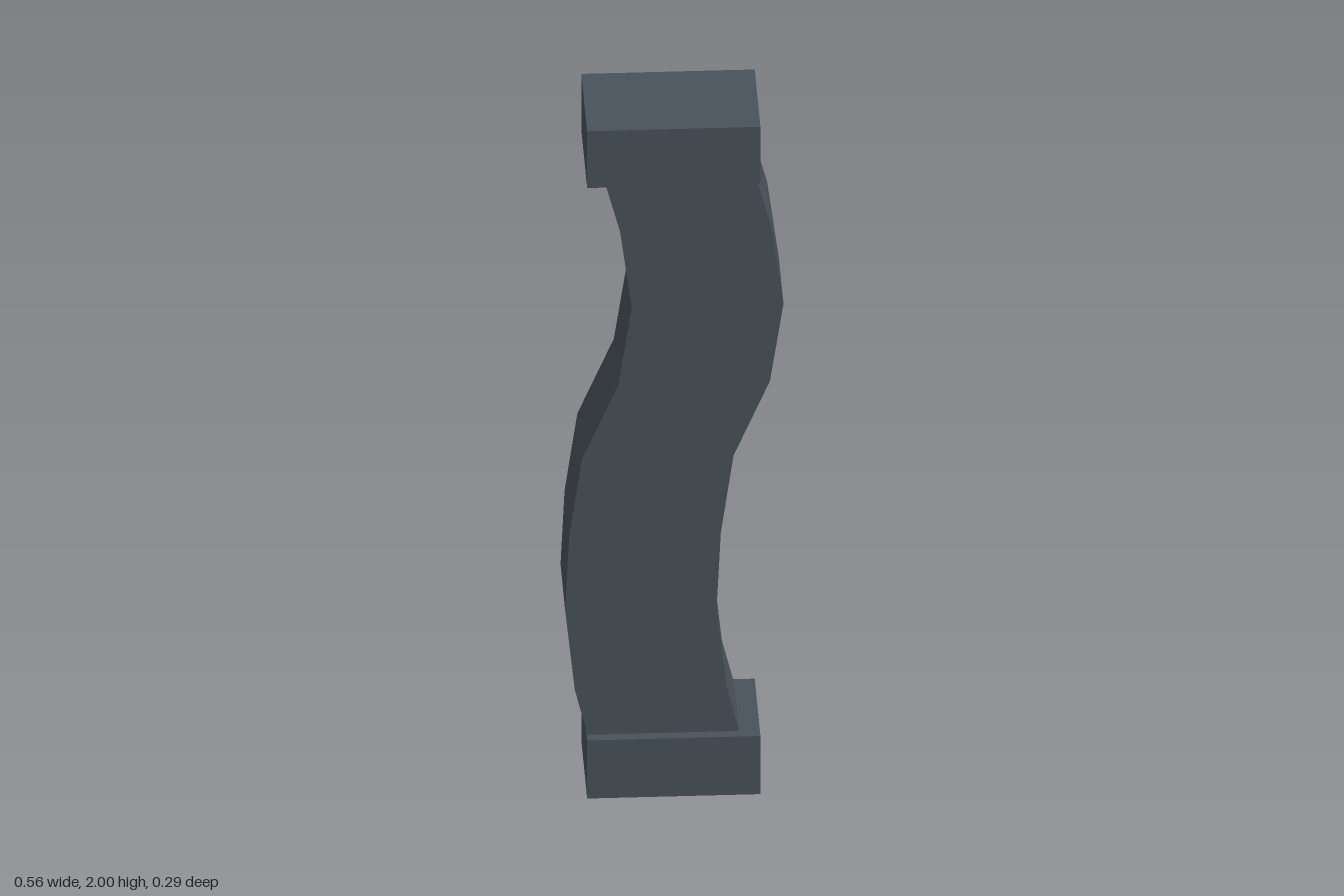
import * as THREE from 'three';

const slate = new THREE.MeshStandardMaterial({ color: 0x49535b });
slate.name = 'slate';

const HALF_W = 0.196, HALF_D = 0.117, Z = -0.001;

// Shaft centre line: [height, sideways offset]; both ends sink into the blocks
const spine = [
  [0.09, -0.009], [0.31, -0.0625], [0.55, -0.0875], [0.77, -0.077], [1.0, -0.044],
  [1.22, 0.05], [1.45, 0.085], [1.68, 0.0545], [1.92, -0.009],
];

// Four separate strips: smooth along the length, sharp at the corners
function wavyShaft() {
  const corners = [[-1, 1], [1, 1], [1, -1], [-1, -1]];
  const positions = [], indices = [];
  corners.forEach((a, side) => {
    const b = corners[(side + 1) % 4];
    const start = positions.length / 3;
    spine.forEach(([y, x], i) => {
      for (const [sx, sz] of [a, b]) positions.push(x + sx * HALF_W, y, Z + sz * HALF_D);
      if (i > 0) {
        const k = start + (i - 1) * 2;
        indices.push(k, k + 1, k + 3, k, k + 3, k + 2);
      }
    });
  });
  const geometry = new THREE.BufferGeometry();
  geometry.setAttribute('position', new THREE.Float32BufferAttribute(positions, 3));
  geometry.setIndex(indices);
  geometry.computeVertexNormals();
  return geometry;
}

function block(name, bottom, top) {
  const mesh = new THREE.Mesh(new THREE.BoxGeometry(0.448, top - bottom, 0.292), slate);
  mesh.position.set(-0.004, (bottom + top) / 2, Z);
  mesh.name = name;
  return mesh;
}

export function createModel() {
  const model = new THREE.Group();
  model.name = 'wavyColumn';

  const shaft = new THREE.Mesh(wavyShaft(), slate);
  shaft.name = 'shaft';

  model.add(block('base', 0, 0.174), shaft, block('capital', 1.83, 2));
  return model;
}
